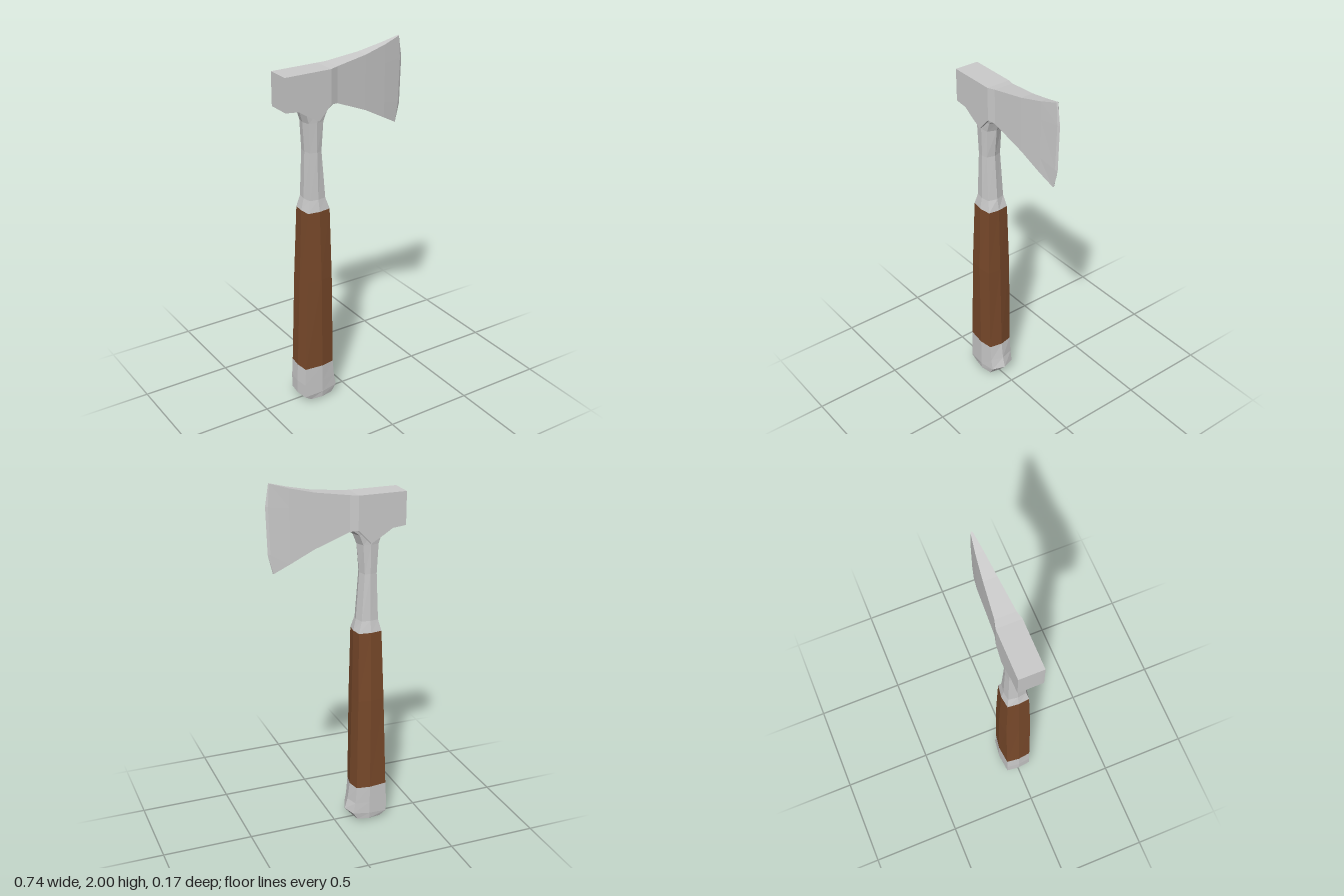
import * as THREE from 'three';

const CX = -0.185; // handle axis

// Skins a list of closed rings; optional fan caps at the start and the end.
function loft(rings, startCap, endCap) {
  const n = rings[0].length, pos = [], idx = [];
  rings.forEach(r => r.forEach(p => pos.push(...p)));
  for (let i = 0; i < rings.length - 1; i++) {
    for (let j = 0; j < n; j++) {
      const a = i * n + j, b = i * n + (j + 1) % n;
      idx.push(a, b, b + n, a, b + n, a + n);
    }
  }
  const cap = (center, base, flip) => {
    const c = pos.length / 3;
    pos.push(...center);
    for (let j = 0; j < n; j++) {
      const a = base + j, b = base + (j + 1) % n;
      idx.push(c, flip ? b : a, flip ? a : b);
    }
  };
  if (startCap) cap(startCap, 0, true);
  if (endCap) cap(endCap, (rings.length - 1) * n, false);
  const g = new THREE.BufferGeometry();
  g.setAttribute('position', new THREE.Float32BufferAttribute(pos, 3));
  g.setIndex(idx);
  const flat = g.toNonIndexed();
  flat.computeVertexNormals();
  return flat;
}

// Eight-sided handle section with a ridge on each side.
function section([y, x0, x1, z, dl = 0.012, dr = 0.015, tilt = 0]) {
  const zc = z * 0.86;
  return [
    [x1, 0], [x1 - dr, -zc], [CX, -z], [x0 + dl, -zc],
    [x0, 0], [x0 + dl, zc], [CX, z], [x1 - dr, zc],
  ].map(([x, pz]) => [x, y + tilt * (x - CX), pz]);
}

function createModel() {
  const group = new THREE.Group();
  group.name = 'hatchet';
  const steel = new THREE.MeshStandardMaterial({ color: 0xcccccc, flatShading: true });
  const wood = new THREE.MeshStandardMaterial({ color: 0x7a4a2b, flatShading: true });
  const add = (name, geometry, material) => {
    const mesh = new THREE.Mesh(geometry, material);
    mesh.name = name;
    group.add(mesh);
  };

  // Handle sections: y, back x, front x, half depth, back and front chamfer, tilt
  const gripBottom = [0.22, -0.295, -0.095, 0.083, 0.009, 0.015];
  const gripTop = [1.155, -0.255, -0.11, 0.07, 0.006, 0.008];

  // Pommel with a swept toe
  add('pommel', loft([
    [0.013, -0.262, -0.105, 0.079, 0.008, 0.012, 0.03],
    [0.049, -0.30, -0.065, 0.083, 0.008, 0.026, 0.09],
    [0.12, -0.30, -0.082, 0.083, 0.008, 0.02, 0.02],
    gripBottom,
  ].map(section), [CX, 0, 0]), steel);

  // Wooden grip
  add('grip', loft([
    gripBottom,
    [0.76, -0.272, -0.103, 0.083, 0.008, 0.011],
    gripTop,
  ].map(section)), wood);

  // Steel neck flaring into the head
  add('neck', loft([
    gripTop,
    [1.22, -0.24, -0.124, 0.058, 0.008, 0.014],
    [1.48, -0.231, -0.141, 0.051, 0.008, 0.014],
    [1.64, -0.24, -0.124, 0.054, 0.01, 0.02],
    [1.695, -0.256, -0.102, 0.057, 0.01, 0.02],
    [1.728, -0.275, -0.06, 0.06, 0.01, 0.02],
  ].map(section), null, [CX, 1.728, 0]), steel);

  // Head columns from poll to cutting edge: bottom x, bottom y, top x, top y, half depth, bulge
  const levels = [1, 0.75, 0.22, 0];
  const columns = [
    [-0.375, 1.73, -0.375, 1.91, 0.067],
    [-0.30, 1.722, -0.30, 1.91, 0.067],
    [-0.25, 1.69, -0.25, 1.91, 0.067],
    [-0.18, 1.65, -0.18, 1.91, 0.067],
    [-0.108, 1.727, -0.108, 1.91, 0.067],
    [-0.065, 1.722, -0.065, 1.914, 0.055],
    [0.12, 1.645, 0.12, 1.94, 0.036],
    [0.25, 1.575, 0.25, 1.97, 0.021],
    [0.332, 1.53, 0.346, 1.998, 0.006, 0.013],
    [0.336, 1.527, 0.35, 2.0, 0, 0.022],
  ].map(([xb, yb, xt, yt, z, bulge = 0]) => {
    const side = levels.map(t => [
      xb + (xt - xb) * t + (t > 0 && t < 1 ? bulge : 0), yb + (yt - yb) * t, z,
    ]);
    return [...side, ...side.map(([x, y, pz]) => [x, y, -pz]).reverse()];
  });
  add('axeHead', loft(columns, [-0.375, 1.82, 0]), steel);

  return group;
}

export { createModel };
